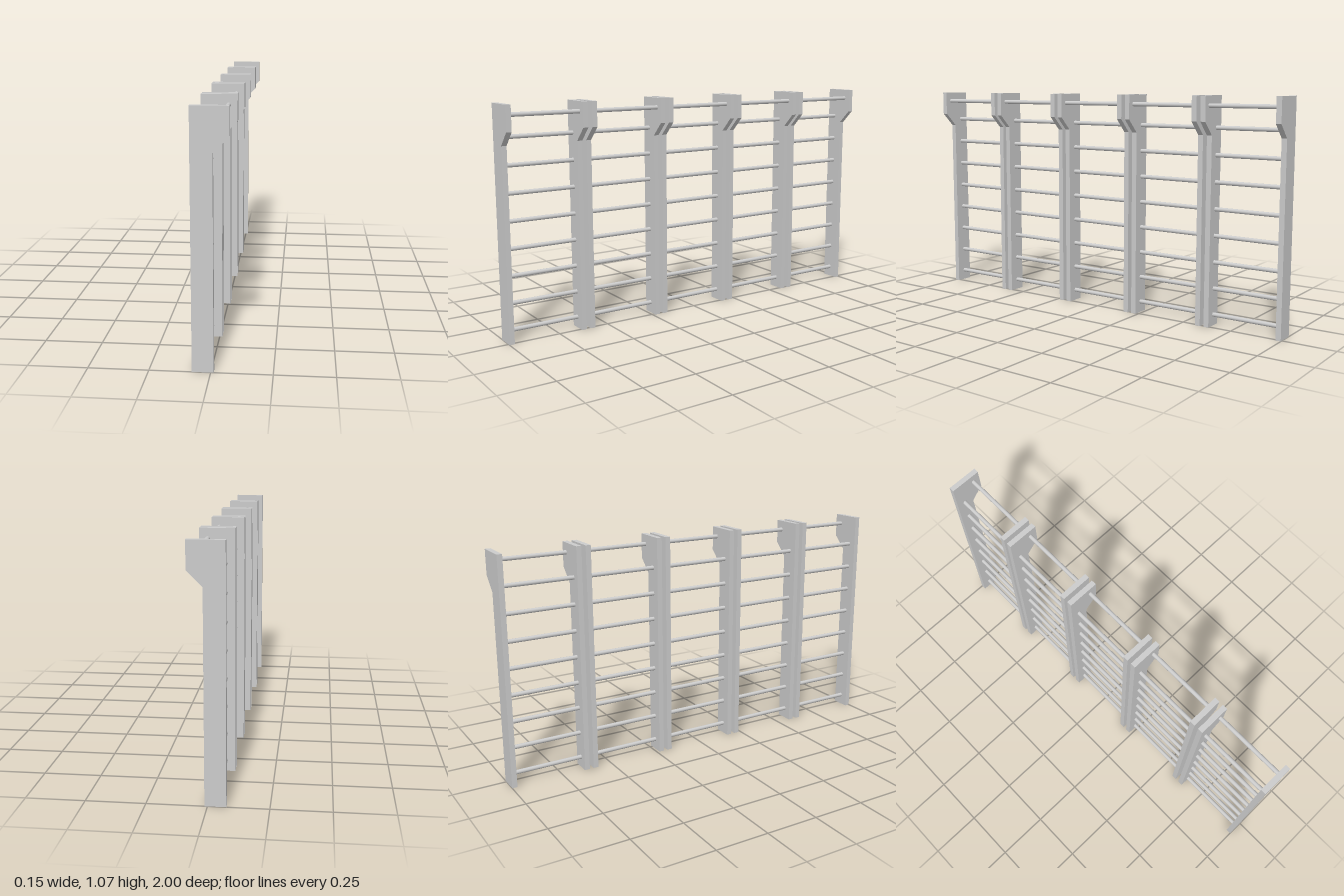
import * as THREE from 'three';

const SECTIONS = 5, PITCH = 0.404, WIDTH = 0.384, POST = 0.025;
const RUNG_R = 0.01;

export function createModel() {
  const model = new THREE.Group();
  model.name = 'wallBars';
  const mat = new THREE.MeshStandardMaterial({ color: 0xcccccc });

  // side board outline with the overhanging head
  const outline = [[-0.076, 0], [0.012, 0], [0.012, 0.891], [0.076, 0.955], [0.076, 1.071], [-0.076, 1.071]];
  const postGeo = new THREE.ExtrudeGeometry(
    new THREE.Shape(outline.map(([x, y]) => new THREE.Vector2(x, y))),
    { depth: POST, bevelEnabled: false }
  ).translate(0, 0, -POST / 2);

  // round rung, its ends set inside the boards
  const rungGeo = new THREE.CylinderGeometry(RUNG_R, RUNG_R, WIDTH - POST, 16).rotateX(Math.PI / 2);

  const add = (group, name, geo, x, y, z) => {
    const mesh = new THREE.Mesh(geo, mat);
    mesh.name = name;
    mesh.position.set(x, y, z);
    group.add(mesh);
  };

  for (let s = 0; s < SECTIONS; s++) {
    const section = new THREE.Group();
    section.name = 'section' + (s + 1);
    section.position.z = ((SECTIONS - 1) / 2 - s) * PITCH;

    // pair of side boards
    for (const side of [1, -1]) add(section, 'sideBoard', postGeo, 0, 0, side * (WIDTH - POST) / 2);

    // evenly spaced climbing rungs
    for (let i = 0; i < 8; i++) add(section, 'rung', rungGeo, -0.034, 0.053 + i * 0.1245, 0);

    // hanging bar under the overhang
    add(section, 'topRung', rungGeo, 0.04, 1.026, 0);
    model.add(section);
  }
  return model;
}
